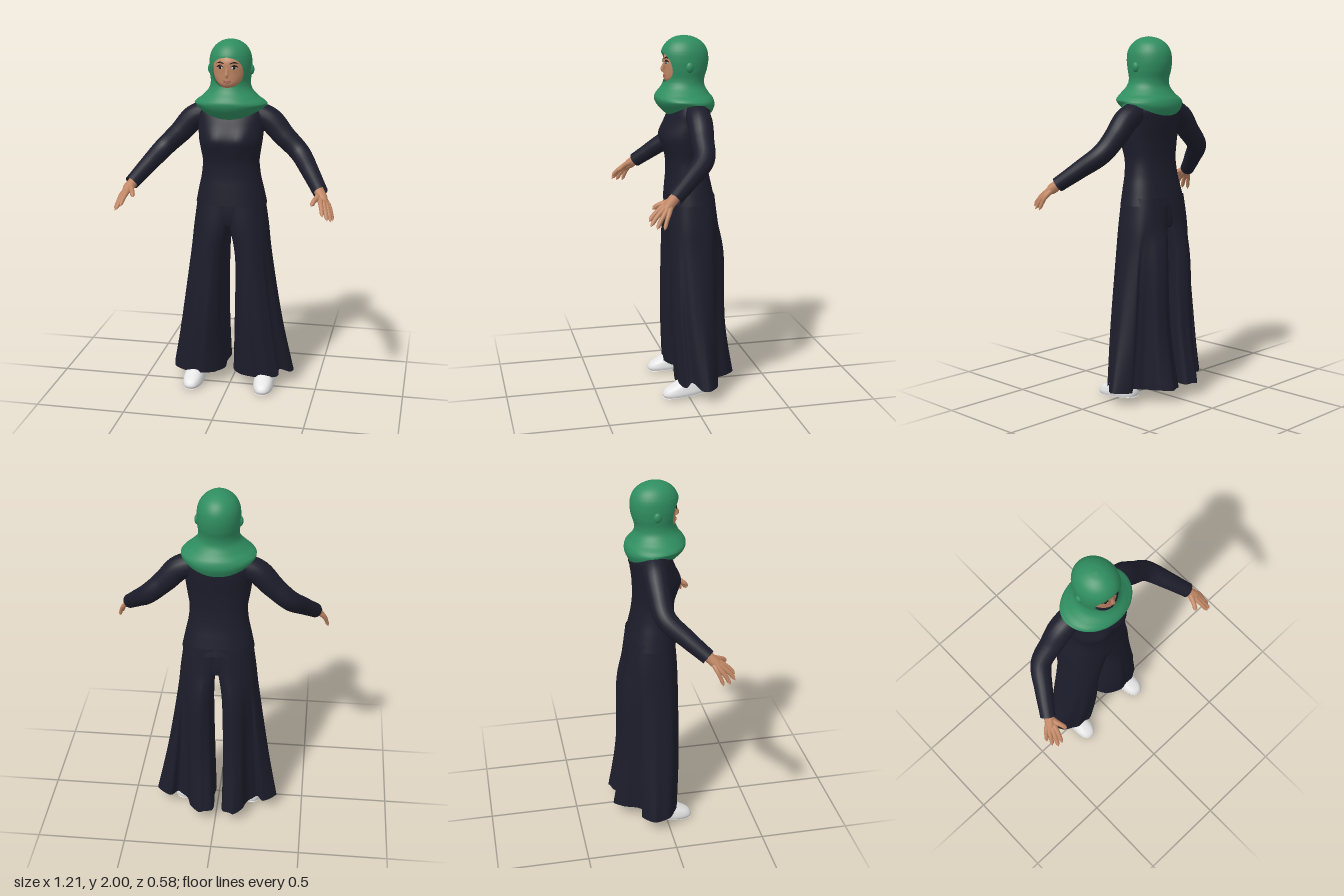
import * as THREE from 'three';
import { mergeVertices } from 'three/addons/utils/BufferGeometryUtils.js';

const mat = (name, color, side = THREE.FrontSide) => {
  const m = new THREE.MeshStandardMaterial({ color, side });
  m.name = name;
  return m;
};

// Smooth surface from f(u, v) => [x, y, z]; u runs round the body, v runs downwards
function surface(f, nu, nv) {
  const pos = [], idx = [];
  for (let j = 0; j <= nv; j++)
    for (let i = 0; i <= nu; i++) pos.push(...f(i / nu, j / nv));
  for (let j = 0; j < nv; j++)
    for (let i = 0; i < nu; i++) {
      const a = j * (nu + 1) + i, b = a + nu + 1;
      idx.push(a, b, a + 1, b, b + 1, a + 1);
    }
  const g = new THREE.BufferGeometry();
  g.setAttribute('position', new THREE.Float32BufferAttribute(pos, 3));
  g.setIndex(idx);
  const merged = mergeVertices(g, 1e-5);
  merged.computeVertexNormals();
  return merged;
}

// Spline through rows of numbers
function blend(rows, v) {
  const s = v * (rows.length - 1), i = Math.min(Math.floor(s), rows.length - 2), t = s - i;
  const at = k => rows[Math.max(0, Math.min(rows.length - 1, k))];
  return rows[0].map((_, c) => {
    const a = at(i - 1)[c], b = at(i)[c], d = at(i + 1)[c], e = at(i + 2)[c];
    const m0 = (d - a) / 2, m1 = (e - b) / 2;
    return b + t * (m0 + t * (3 * (d - b) - 2 * m0 - m1 + t * (2 * (b - d) + m0 + m1)));
  });
}

// Smooth bump of height 1 centred on c
const bump = (x, c, width) => Math.exp(-(((x - c) / width) ** 2));

// Stacked ovals, squarer when power < 1; rows are [y, half width, front z, back z] from top to bottom
function loft(rows, nu, nv, { gap = () => 0, shape = p => p, power = 1 } = {}) {
  const bend = c => Math.sign(c) * Math.abs(c) ** power;
  return surface((u, v) => {
    const [y, rx, zf, zb] = blend(rows, v), g = gap(y, rx);
    const a = g + u * 2 * (Math.PI - g);
    return shape([rx * bend(Math.sin(a)), y, (zf + zb) / 2 + (zf - zb) / 2 * bend(Math.cos(a))], a);
  }, nu, nv);
}

// Tube whose radius changes along the path
function taper(points, radii, seg = 20, sides = 10) {
  const curve = new THREE.CatmullRomCurve3(points.map(p => new THREE.Vector3(...p)));
  const g = new THREE.TubeGeometry(curve, seg, 1, sides);
  const p = g.attributes.position, v = new THREE.Vector3();
  for (let k = 0; k < p.count; k++) {
    const t = Math.floor(k / (sides + 1)) / seg, c = curve.getPointAt(t);
    const [r] = blend(radii.map(x => [x]), t);
    v.fromBufferAttribute(p, k).sub(c).multiplyScalar(Math.max(r, 0.0005)).add(c);
    p.setXYZ(k, v.x, v.y, v.z);
  }
  return g;
}

export function createModel() {
  const root = new THREE.Group();
  const green = mat('scarf green', 0x2f8d60, THREE.DoubleSide);
  const navy = mat('cloth navy', 0x1c1d2b, THREE.DoubleSide);
  const skin = mat('skin', 0xc08664);
  const white = mat('shoe white', 0xe4e4e4);
  const eyeWhite = mat('eye white', 0xd8d0c8);
  const dark = mat('eye and brow dark', 0x1c1412);
  const lip = mat('lip', 0xa46654);
  const add = (name, geometry, material, parent = root) => {
    const m = new THREE.Mesh(geometry, material);
    m.name = name;
    parent.add(m);
    return m;
  };
  const ball = (name, material, p, s, parent = root) => {
    const m = add(name, new THREE.SphereGeometry(1, 20, 14), material, parent);
    m.position.set(...p);
    m.scale.set(...s);
    return m;
  };

  // Head and neck
  add('head', loft([
    [1.95, 0.01, 0, -0.05], [1.93, 0.06, 0.055, -0.1], [1.895, 0.084, 0.084, -0.1], [1.86, 0.09, 0.089, -0.1],
    [1.825, 0.09, 0.087, -0.1], [1.79, 0.082, 0.087, -0.1], [1.765, 0.064, 0.086, -0.09],
    [1.745, 0.047, 0.068, -0.09], [1.72, 0.045, 0.03, -0.09], [1.64, 0.05, 0.02, -0.1],
  ], 36, 36), skin);
  add('nose', taper([[0, 1.862, 0.082], [0, 1.835, 0.091], [0, 1.816, 0.095], [0, 1.803, 0.086]],
    [0.005, 0.008, 0.012, 0.005]), skin);
  ball('upperLip', lip, [0, 1.788, 0.085], [0.023, 0.005, 0.007]);
  ball('lowerLip', lip, [0, 1.78, 0.085], [0.02, 0.006, 0.007]);

  // Headscarf with a rounded face opening; the hem dips at front and back and rises over the shoulders
  add('headscarf', loft([
    [2.0, 0.001, -0.02, -0.022], [1.99, 0.045, 0.03, -0.075], [1.962, 0.085, 0.073, -0.123],
    [1.92, 0.109, 0.099, -0.15], [1.87, 0.116, 0.104, -0.157], [1.82, 0.114, 0.097, -0.15],
    [1.77, 0.109, 0.088, -0.135], [1.73, 0.12, 0.1, -0.136], [1.69, 0.158, 0.13, -0.158],
    [1.66, 0.195, 0.139, -0.181], [1.62, 0.2, 0.12, -0.188], [1.575, 0.198, 0.075, -0.17],
  ], 64, 88, {
    gap: (y, rx) => {
      const w = 0.084 * Math.max(0, 1 - Math.abs((y - 1.832) / 0.08) ** 2.4) ** 0.45;
      return Math.asin(Math.min(1, w / rx));
    },
    shape: ([x, y, z], a) => {
      if (y < 1.66) y = 1.66 - (1.66 - y) * (0.2 + 0.8 * Math.cos(a) ** 2);
      return [x, y, z];
    },
  }), green);

  // Long-sleeved top
  add('top', loft([
    [1.68, 0.04, 0, -0.1], [1.655, 0.12, 0.03, -0.14], [1.605, 0.185, 0.05, -0.16], [1.54, 0.183, 0.076, -0.16],
    [1.46, 0.177, 0.1, -0.15], [1.4, 0.168, 0.093, -0.146], [1.33, 0.158, 0.078, -0.146],
    [1.25, 0.165, 0.075, -0.155], [1.18, 0.18, 0.08, -0.17], [1.09, 0.199, 0.087, -0.19],
  ], 48, 45, {
    power: 0.88,
    shape: ([x, y, z]) => [x, y, z < 0 ? z : z + 0.014 * bump(Math.abs(x), 0.075, 0.05) * bump(y, 1.46, 0.06)],
  }), navy);

  // Seat of the trousers, joining both legs
  add('trouserSeat', loft([
    [1.14, 0.17, 0.072, -0.175], [1.05, 0.185, 0.076, -0.184], [0.99, 0.12, 0.07, -0.186],
    [0.96, 0.05, 0.05, -0.17], [0.945, 0.001, -0.05, -0.06],
  ], 40, 24, { power: 0.88 }), navy);

  // Wide trouser leg: each row is y, then 13 x, z pairs round the leg
  const legRows = [
    [1.13, -.02, 0, 0, .07, .05, .073, .1, .065, .15, .042, .18, 0, .185, -.07, .165, -.13, .13, -.162, .1, -.173, .05, -.18, 0, -.175, -.02, -.1],
    [.97, .008, 0, .012, .06, .05, .08, .11, .078, .16, .055, .2, .01, .208, -.07, .19, -.135, .15, -.172, .11, -.192, .06, -.2, .016, -.18, .008, -.09],
    [.78, .03, 0, .042, .05, .08, .078, .13, .08, .18, .06, .223, .01, .23, -.07, .21, -.135, .175, -.165, .13, -.215, .08, -.232, .035, -.2, .027, -.09],
    [.4, .03, 0, .06, .05, .11, .08, .17, .075, .23, .055, .282, 0, .29, -.08, .245, -.148, .18, -.155, .135, -.225, .08, -.24, .035, -.22, .022, -.1],
    [.075, .025, -.01, .07, .035, .14, .06, .21, .055, .27, .04, .345, -.03, .358, -.095, .28, -.153, .19, -.152, .14, -.25, .085, -.292, .025, -.27, .012, -.13],
  ];

  for (const s of [1, -1]) {
    const side = s > 0 ? 'left' : 'right';
    const flip = pts => pts.map(([x, y, z]) => [s * x, y, z]);

    const loops = Array.from({ length: 41 }, (_, j) => {
      const r = blend(legRows, j / 40), pts = [];
      for (let k = 1; k < r.length; k += 2) pts.push(new THREE.Vector3(r[k], r[0], r[k + 1]));
      return new THREE.CatmullRomCurve3(pts, true);
    });
    // Small folds all round, a pleat at the back, and a deep side pleat on the left leg only
    add(side + 'TrouserLeg', surface((u, v) => {
      const w = s > 0 ? u : 1 - u, p = loops[Math.round(v * 40)].getPoint(w);
      const low = Math.max(0, Math.min(1, (0.95 - p.y) / 0.87));
      const fold = 0.004 * low * Math.sin(w * 18 * Math.PI);
      const pleat = s > 0 ? low * bump(w, 0.365, 0.025) : 0;
      const x = p.x + fold - 0.045 * pleat + (s < 0 ? low * (0.028 - 0.11 * p.x) : 0);
      return [s * x, p.y + fold * 0.5 + 0.03 * pleat * low ** 6, p.z + fold + 0.03 * low * bump(w, 7.5 / 13, 0.018)];
    }, 104, 40), navy);

    add(side + 'Sleeve', taper(flip([
      [0.12, 1.598, -0.06], [0.21, 1.56, -0.06], [0.29, 1.475, -0.056],
      [0.38, 1.387, -0.042], [0.455, 1.3, 0.053], [0.522, 1.218, 0.152],
    ]), [0.066, 0.067, 0.059, 0.054, 0.047, 0.041], 30, 20), navy);

    // Hand: overlapping blunt fingers that meet at the wrist
    const hand = new THREE.Group();
    hand.name = side + 'Hand';
    root.add(hand);
    add('palm', taper(flip([[0.49, 1.255, 0.11], [0.52, 1.215, 0.158], [0.54, 1.188, 0.188], [0.556, 1.162, 0.213]]),
      [0.027, 0.027, 0.028, 0.026, 0.002]), skin, hand);
    [
      ['indexFinger', [0.532, 1.178, 0.226], [0.55, 1.118, 0.289], 1],
      ['middleFinger', [0.55, 1.166, 0.224], [0.575, 1.097, 0.285], 1],
      ['ringFinger', [0.565, 1.157, 0.21], [0.592, 1.084, 0.256], 1],
      ['littleFinger', [0.574, 1.155, 0.19], [0.599, 1.08, 0.218], 0.9],
      ['thumb', [0.511, 1.2, 0.2], [0.486, 1.166, 0.258], 1.1],
    ].forEach(([name, knuckle, tip, size]) => {
      const mid = knuckle.map((k, i) => k * 0.45 + tip[i] * 0.55 + (i === 1 ? 0.006 : 0));
      const radii = [0.017, 0.017, 0.016, 0.015, 0.014, 0.0125, 0.012, 0.0115, 0.0105, 0.001].map(r => r * size);
      add(name, taper(flip([[0.522, 1.212, 0.162], knuckle, mid, tip]), radii), skin, hand);
    });

    // Shoe, heel slightly raised
    const shoe = add(side + 'Shoe', loft([
      [0.13, 0.034, -0.005, -0.1], [0.095, 0.042, 0.025, -0.112], [0.068, 0.05, 0.078, -0.117], [0.045, 0.056, 0.127, -0.12],
      [0.02, 0.06, 0.146, -0.121], [0.003, 0.056, 0.14, -0.115], [0, 0.052, 0.134, -0.11], [0, 0.001, 0.01, 0.008],
    ], 32, 28, { power: 0.8 }), white);
    shoe.position.set(s * 0.204, 0.015, 0);
    shoe.rotation.set(0.1, s * 0.04, 0);

    // Face details and the ear bulge under the scarf
    ball(side + 'Eye', eyeWhite, [s * 0.037, 1.858, 0.079], [0.017, 0.009, 0.006]).rotation.y = s * 0.35;
    ball(side + 'Iris', dark, [s * 0.037, 1.858, 0.083], [0.009, 0.0085, 0.004]);
    add(side + 'Eyelid', taper(flip([[0.019, 1.86, 0.085], [0.037, 1.868, 0.083], [0.056, 1.861, 0.072]]),
      [0.002, 0.005, 0.003]), dark);
    add(side + 'Eyebrow', taper(flip([[0.015, 1.878, 0.087], [0.038, 1.885, 0.08], [0.06, 1.878, 0.068]]),
      [0.002, 0.004, 0.001]), dark);
    ball(side + 'EarBulge', green, [s * 0.112, 1.836, -0.03], [0.016, 0.028, 0.022]);
  }
  return root;
}
